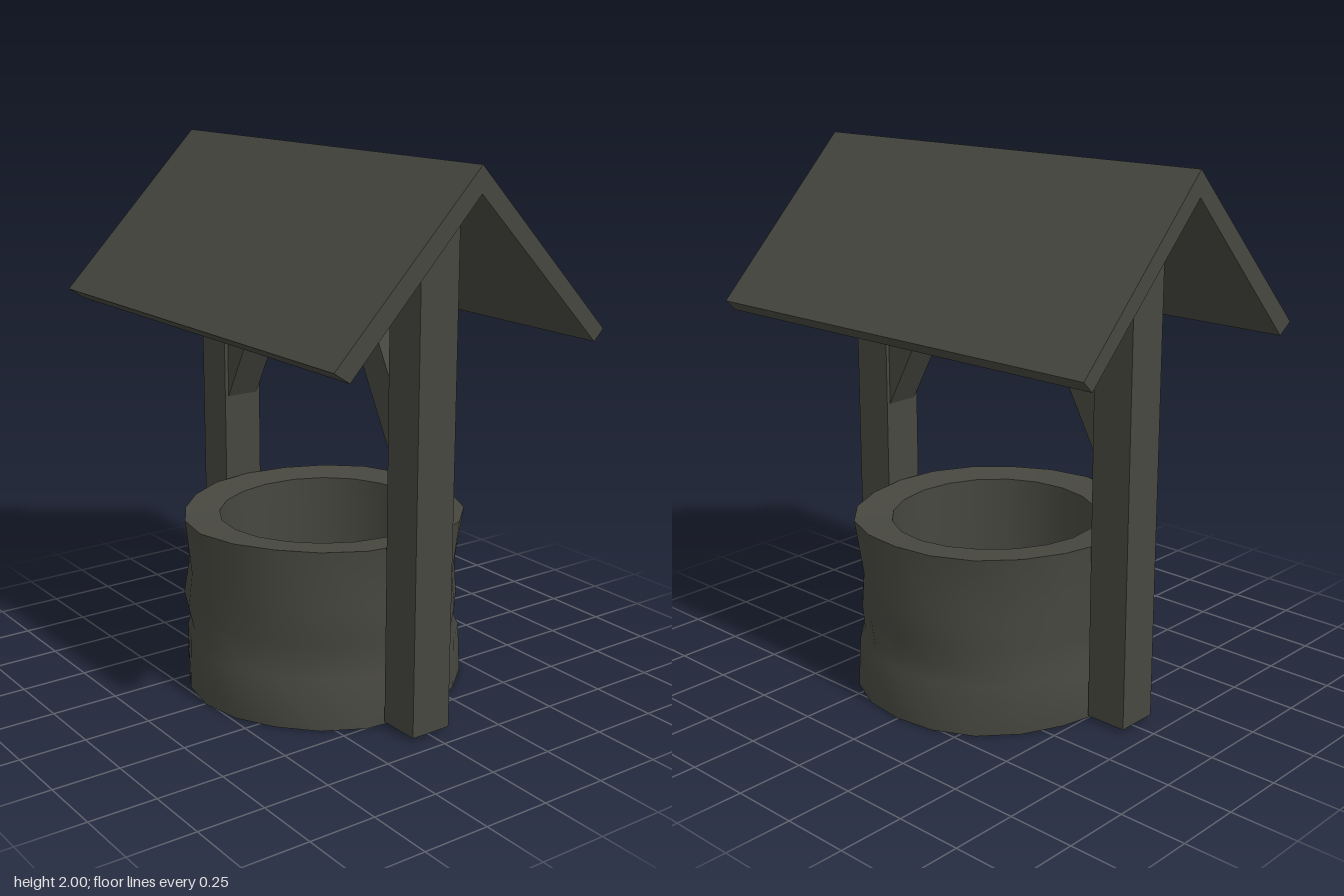
import * as THREE from 'three';
import { toCreasedNormals } from 'three/addons/utils/BufferGeometryUtils.js';

export function createModel() {
  const model = new THREE.Group();
  model.name = 'well';
  const charcoal = new THREE.MeshStandardMaterial({ color: 0x474740 });
  charcoal.name = 'charcoal';

  const add = (name, geometry, x = 0, y = 0, z = 0) => {
    const mesh = new THREE.Mesh(geometry, charcoal);
    mesh.name = name;
    mesh.position.set(x, y, z);
    model.add(mesh);
    return mesh;
  };

  // Extrude an outline of [x, y] points, centred on its depth
  const prism = (points, depth) => new THREE.ExtrudeGeometry(
    new THREE.Shape(points.map(([x, y]) => new THREE.Vector2(x, y))),
    { depth, bevelEnabled: false },
  ).translate(0, 0, -depth / 2);

  // Open stone ring with a slightly uneven outer face
  const profile = [
    [0.525, 0.01], [0.52, 0.2], [0.505, 0.24], [0.52, 0.33], [0.505, 0.46], [0.525, 0.672],
    [0.39, 0.66], [0.385, 0.35], [0.39, 0.01], [0.525, 0.01],
  ].map(([r, y]) => new THREE.Vector2(r, y));
  const ring = new THREE.LatheGeometry(profile, 20);
  const p = ring.attributes.position;
  for (let i = 0; i < p.count; i++) {
    const x = p.getX(i), y = p.getY(i), z = p.getZ(i);
    const a = Math.atan2(z, x);
    const outer = Math.hypot(x, z) > 0.45;
    const k = outer ? 1 + 0.012 * Math.sin(5 * a + 9 * y) + 0.008 * Math.sin(3 * a - 14 * y) : 1;
    p.setXYZ(i, x * k * 0.98, y + (y > 0.6 ? 0.004 * Math.sin(2 * a) : 0), z * k);
  }
  add('stoneRing', toCreasedNormals(ring, 0.9), 0.005, 0, -0.015);

  // Posts and the diagonal braces rising from them to the ridge
  const brace = [[0.53, 0.962], [0.53, 1.212], [0.175, 1.86], [0.036, 1.86]];
  for (const side of [-1, 1]) {
    const label = side > 0 ? 'left' : 'right';
    add(label + 'Post', new THREE.BoxGeometry(0.16, 1.85, 0.16), 0.005 + side * 0.595, 0.94, 0.005);
    add(label + 'Brace', prism(brace.map(([x, y]) => [side * x, y]), 0.13), 0.003, 0, 0.005);
  }

  // Gable roof of two joined slabs
  const roof = prism([
    [0, 2], [-0.56, 1.42], [-0.52, 1.38], [0, 1.91], [0.505, 1.38], [0.565, 1.42],
  ], 1.73).rotateY(-Math.PI / 2);
  add('roof', roof);

  // Stand the lowest part on the ground
  model.children.forEach((part) => { part.position.y -= part.name === 'stoneRing' ? 0.01 : 0; });
  return model;
}
